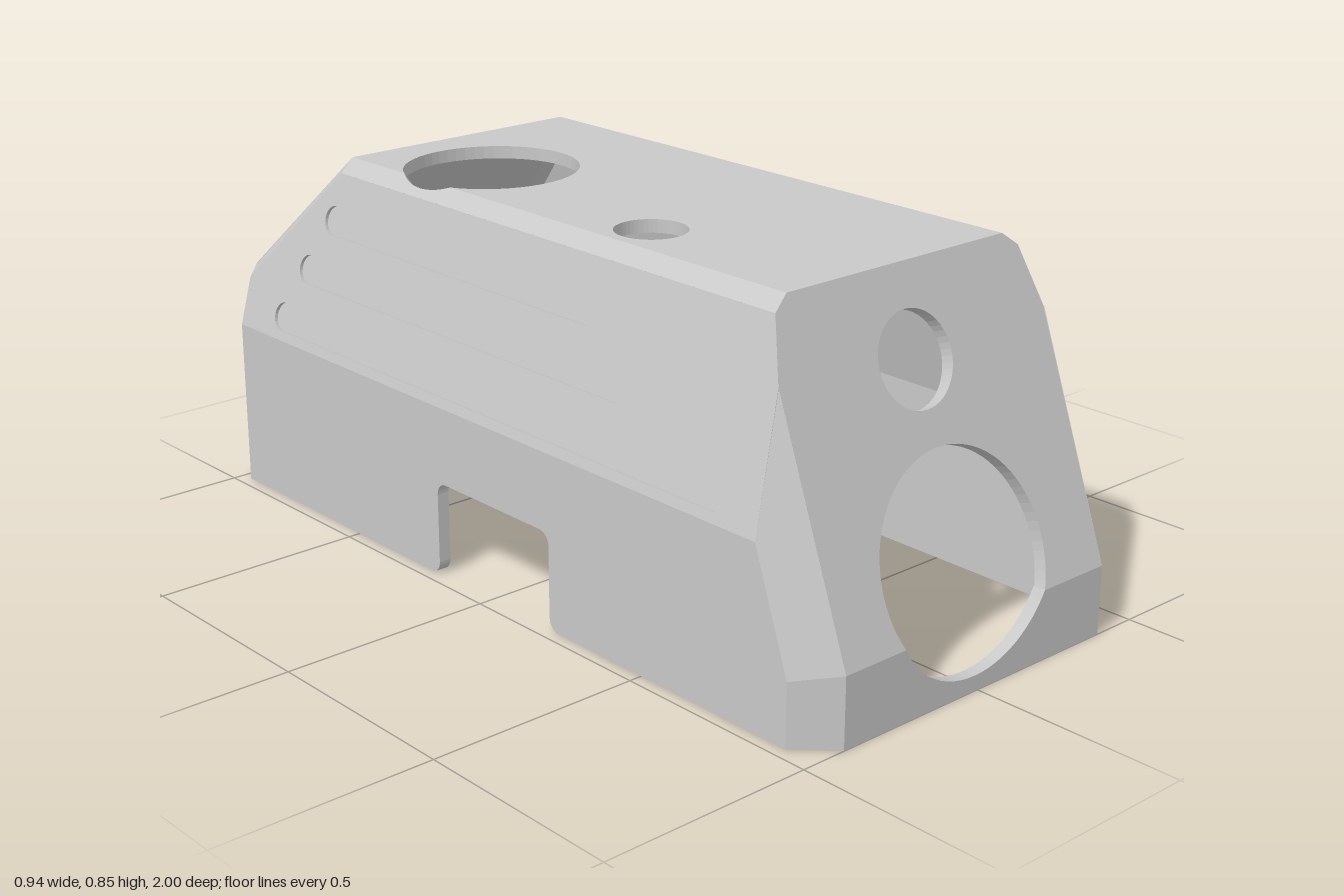
import * as THREE from 'three';

const T = 0.03; // wall thickness
const V = (x, y, z) => new THREE.Vector3(x, y, z);
const CENTRE = V(0, 0.4, 0);

// Points of an ellipse arc as [a, b] pairs
function arc(ca, cb, ra, rb, a0 = 0, a1 = Math.PI * 2, n = 48) {
  const closed = Math.abs(a1 - a0) > 6.28;
  return Array.from({ length: closed ? n : n + 1 }, (_, i) => {
    const t = a0 + (a1 - a0) * i / n;
    return [ca + ra * Math.cos(t), cb + rb * Math.sin(t)];
  });
}

// Outward normal of a planar outline
function outward(pts) {
  const n = V(0, 0, 0);
  pts.forEach((p, i) => n.add(p.clone().cross(pts[(i + 1) % pts.length])));
  n.normalize();
  return n.dot(pts[0].clone().sub(CENTRE)) < 0 ? n.negate() : n;
}

export function createModel() {
  const model = new THREE.Group();
  model.name = 'housing';
  const grey = new THREE.MeshStandardMaterial({ color: 0xc8c8c8 });
  grey.name = 'shell grey';

  // Flat plate on a 3D outline, between two depths below the surface
  function panel(name, pts, holes = [], from = 0, to = T) {
    const n = outward(pts);
    const u = (Math.abs(n.x) > 0.9 ? V(0, 0, 1) : V(1, 0, 0));
    u.addScaledVector(n, -u.dot(n)).normalize();
    const v = n.clone().cross(u);
    const flat = list => list.map(p => {
      const d = p.clone().sub(pts[0]);
      return new THREE.Vector2(d.dot(u), d.dot(v));
    });
    const outline = flat(pts);
    if (THREE.ShapeUtils.isClockWise(outline)) outline.reverse();
    const shape = new THREE.Shape(outline);
    shape.holes = holes.map(h => new THREE.Path(flat(h)));
    const geo = new THREE.ExtrudeGeometry(shape, { depth: to - from, bevelEnabled: false });
    const origin = pts[0].clone().addScaledVector(n, -to);
    geo.applyMatrix4(new THREE.Matrix4().makeBasis(u, v, n).setPosition(origin));
    const mesh = new THREE.Mesh(geo, grey);
    mesh.name = name;
    model.add(mesh);
  }
  // Plate whose grooves are cut only into its outer skin
  function groovedPanel(name, pts, holes, grooves, sink) {
    panel(name + 'Skin', pts, [...holes, ...grooves], 0, sink);
    panel(name + 'Core', pts, holes, sink, T);
  }

  const front = (x, y) => V(x, y, y < 0.16 ? 1 : 1 - (y - 0.16) * 0.255 / 0.69);
  const sideX = y => 0.47 - (y - 0.405) * 0.277;

  // Roof: the large round opening bites into its right edge
  const beta = Math.acos(0.185 / 0.205);
  const roofBite = (a0, a1, n) => arc(-0.13, -0.4, 0.205, 0.2, a0, a1, n);
  panel('roof',
    [[0.315, 0.745], [-0.315, 0.745], ...roofBite(Math.PI - beta, beta - Math.PI, 48),
      [-0.315, -0.69], [0.315, -0.69]].map(([x, z]) => V(x, 0.85, z)),
    [arc(-0.21, 0.24, 0.08, 0.08).map(([x, z]) => V(x, 0.85, z))]);

  // Front: sloped and upright plates share one large round opening
  const a = Math.asin((0.16 - 0.265) / 0.23);
  const upperArc = arc(-0.01, 0.265, 0.2375, 0.23, Math.PI - a, a);
  const lowerArc = arc(-0.01, 0.265, 0.2375, 0.23, a, -Math.PI - a, 24);
  panel('frontSlope',
    [...[[0.39, 0.16], [0.39, 0.69], [0.355, 0.82], [0.315, 0.85],
      [-0.315, 0.85], [-0.355, 0.82], [-0.39, 0.69], [-0.39, 0.16]], ...upperArc]
      .map(([x, y]) => front(x, Math.max(y, 0.16))),
    [arc(-0.015, 0.665, 0.105, 0.097).map(([x, y]) => front(x, y))]);
  panel('frontBase',
    [[-0.39, 0], [0.39, 0], [0.39, 0.16], ...lowerArc, [-0.39, 0.16]]
      .map(([x, y]) => V(x, y, 1)));

  // Back wall with window and fine grooves
  const rect = ([x0, x1, y0, y1]) => [V(x0, y0, -1), V(x1, y0, -1), V(x1, y1, -1), V(x0, y1, -1)];
  groovedPanel('backWall',
    [[0.44, 0], [0.44, 0.405], [0.4, 0.54], [-0.4, 0.54], [-0.44, 0.405], [-0.44, 0]]
      .map(([x, y]) => V(x, y, -1)),
    [rect([-0.32, 0.32, 0.08, 0.305])],
    [[-0.33, 0.33, 0.478, 0.486], [-0.352, -0.344, 0.06, 0.465],
      [0.355, 0.363, 0.43, 0.49], [-0.33, -0.2, 0.05, 0.058], [0.18, 0.35, 0.05, 0.058]].map(rect),
    0.01);

  // Back slope with four tiny pin marks
  const pins = [];
  for (const x of [-0.24, 0.235]) for (const z of [-0.97, -0.745])
    pins.push(arc(x, z, 0.004, 0.003, 0, Math.PI * 2, 8).map(([px, pz]) => V(px, 1.54 + pz, pz)));
  groovedPanel('backSlope',
    [V(0.315, 0.85, -0.69), V(-0.315, 0.85, -0.69), V(-0.4, 0.54, -1), V(0.4, 0.54, -1)],
    [], pins, 0.01);

  // Side notch outline, rounded at every corner
  const h = Math.PI / 2;
  const notch = [
    ...arc(-0.215, 0.03, 0.03, 0.03, -h, 0, 6),
    ...arc(-0.155, 0.195, 0.03, 0.03, 2 * h, h, 6),
    ...arc(0.175, 0.195, 0.03, 0.03, h, 0, 6),
    ...arc(0.235, 0.03, 0.03, 0.03, 2 * h, 3 * h, 6)];

  for (const s of [1, -1]) {
    const side = s > 0 ? 'left' : 'right';
    const P = list => list.map(([x, y, z]) => V(s * x, y, z));

    panel(side + 'LowerSide', P([[0.47, 0, 0.92], [0.47, 0.145, 0.92], [0.47, 0.405, 0.828],
      [0.47, 0.405, -0.97], [0.47, 0, -0.97], ...notch.map(([z, y]) => [0.47, y, z])]));

    // Long slots on the leaning side: one deep on the left, the rest shallow
    const slot = (y, z0, z1) => P([
      ...arc(z1 - 0.034, y, 0.034, 0.033, -h, h, 12),
      ...arc(z0 + 0.034, y, 0.034, 0.033, h, 3 * h, 12)].map(([z, py]) => [sideX(py), py, z]));
    const topSlot = slot(0.712, -0.71, 0.275);
    const grooves = [slot(0.46, -0.84, 0.73)];
    if (s < 0) grooves.push(slot(0.586, -0.775, 0.4), topSlot);
    else panel('deepSlotFloor', topSlot, [], 0.028, 0.036);
    groovedPanel(side + 'UpperSide', P([[0.47, 0.405, 0.828], [0.391, 0.69, 0.804], [0.355, 0.82, 0.756],
      [0.355, 0.82, -0.68], [0.438, 0.52, -0.97], [0.47, 0.405, -0.97]]),
    s > 0 ? [topSlot] : [], grooves, 0.008);

    // Chamfers between the large faces
    panel(side + 'FrontChamferLower', P([[0.39, 0, 1], [0.47, 0, 0.92], [0.47, 0.145, 0.92], [0.39, 0.16, 1]]));
    panel(side + 'FrontChamferUpper', P([[0.39, 0.16, 1], [0.47, 0.145, 0.92], [0.47, 0.405, 0.828], [0.39, 0.69, 0.804]]));
    const bite = s > 0 ? [] : roofBite(Math.PI + beta, Math.PI - beta, 10)
      .map(([x, z]) => [-x, 0.85 - 0.75 * (-x - 0.315), z]);
    panel(side + 'RoofChamfer', P([[0.315, 0.85, 0.745], [0.355, 0.82, 0.756],
      [0.355, 0.82, -0.68], [0.315, 0.85, -0.69], ...bite]));
    panel(side + 'BackSlopeChamfer', P([[0.315, 0.85, -0.69], [0.355, 0.82, -0.68], [0.438, 0.52, -0.97], [0.4, 0.54, -1]]));
    panel(side + 'BackChamferUpper', P([[0.4, 0.54, -1], [0.438, 0.52, -0.97], [0.47, 0.405, -0.97], [0.44, 0.405, -1]]));
    panel(side + 'BackChamferLower', P([[0.44, 0.405, -1], [0.47, 0.405, -0.97], [0.47, 0, -0.97], [0.44, 0, -1]]));

    // Corner gussets with screw holes, flush with the bottom rim
    const gusset = (name, pts, hx, hz) => panel(side + name,
      P(pts.map(([x, z]) => [x, 0, z])),
      [P(arc(hx, hz, 0.018, 0.018, 0, Math.PI * 2, 16).map(([x, z]) => [x, 0, z]))], 0, 0.05);
    gusset('FrontGusset', [[0.3, 0.985], [0.385, 0.985], [0.455, 0.915], [0.455, 0.83], [0.4, 0.83]], 0.395, 0.915);
    gusset('BackGusset', [[0.34, -0.985], [0.435, -0.985], [0.455, -0.965], [0.455, -0.86]], 0.42, -0.945);
  }
  return model;
}
